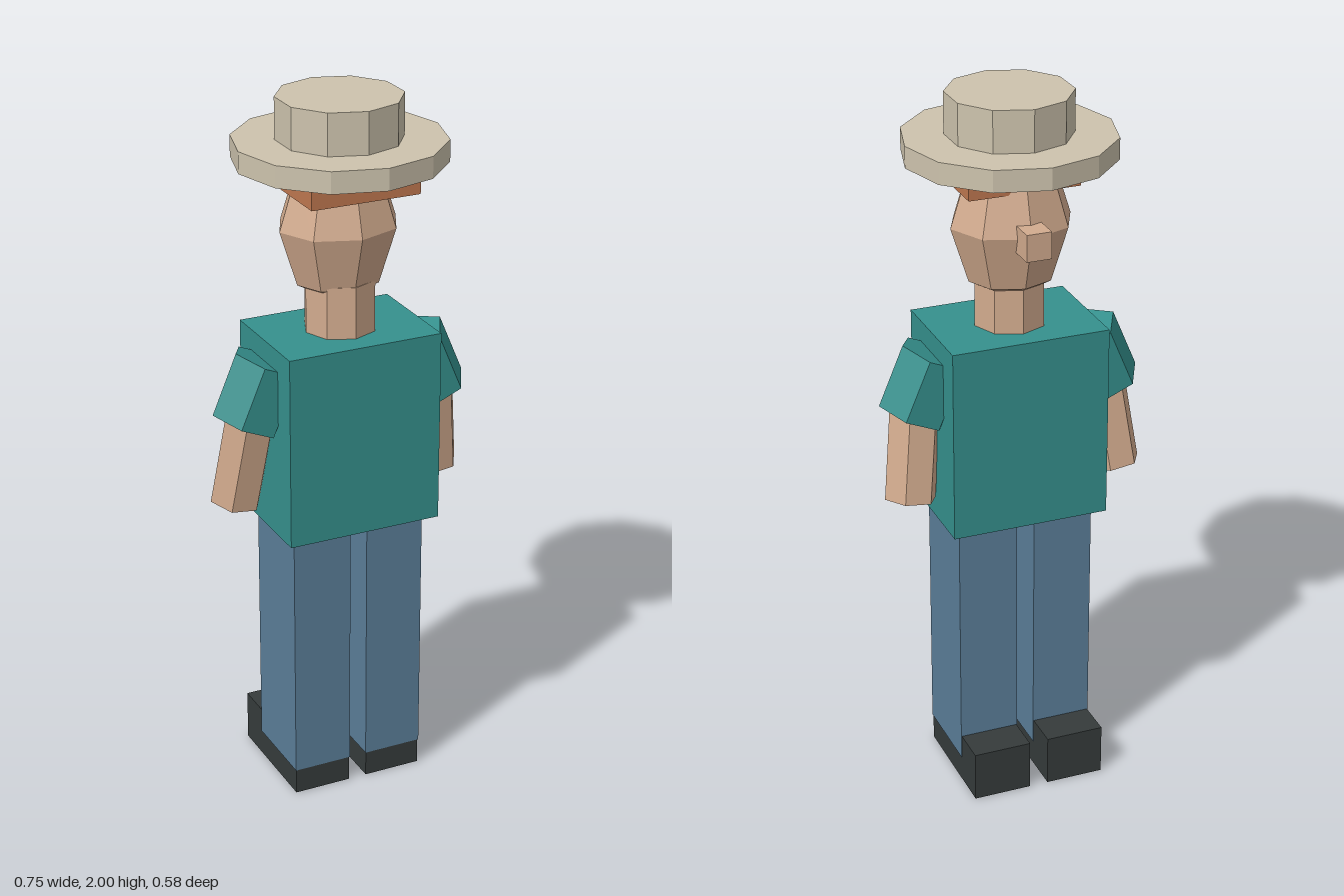
import * as THREE from 'three';

export function createModel() {
  const model = new THREE.Group();
  model.name = 'manWithHat';

  const mat = (name, color) => {
    const m = new THREE.MeshStandardMaterial({ color, flatShading: true });
    m.name = name;
    return m;
  };
  const skin = mat('skin', 0xd2ab8e);
  const teal = mat('teal shirt', 0x35908d);
  const denim = mat('denim', 0x5b7e99);
  const black = mat('shoe black', 0x353b3b);
  const straw = mat('straw', 0xcdc3ad);
  const ginger = mat('ginger hair', 0xbf7850);

  const add = (name, geometry, material, x, y, z) => {
    const mesh = new THREE.Mesh(geometry, material);
    mesh.name = name;
    mesh.position.set(x, y, z);
    model.add(mesh);
    return mesh;
  };
  // box given by its lower and upper corners
  const box = (name, material, [x0, y0, z0], [x1, y1, z1]) =>
    add(name, new THREE.BoxGeometry(x1 - x0, y1 - y0, z1 - z0), material,
      (x0 + x1) / 2, (y0 + y1) / 2, (z0 + z1) / 2);
  // upright prism with a corner on the z axis
  const prism = (name, material, r, sides, y0, y1) =>
    add(name, new THREE.CylinderGeometry(r, r, y1 - y0, sides), material, 0, (y0 + y1) / 2, 0);
  // six-sided limb between two points, with corners towards the sides
  const limb = (name, material, r, top, bottom) => {
    const a = new THREE.Vector3(...top), b = new THREE.Vector3(...bottom);
    const geometry = new THREE.CylinderGeometry(r, r, a.distanceTo(b), 6);
    geometry.rotateY(Math.PI / 2);
    const mesh = add(name, geometry, material, 0, 0, 0);
    mesh.position.copy(a).add(b).multiplyScalar(0.5);
    mesh.quaternion.setFromUnitVectors(new THREE.Vector3(0, 1, 0), a.sub(b).normalize());
  };

  // torso and neck
  box('torso', teal, [-0.223, 0.81, -0.16], [0.223, 1.355, 0.163]);
  prism('neck', skin, 0.1, 8, 1.34, 1.5);

  // head, nose and hair; the face looks towards -z
  const head = add('head', new THREE.SphereGeometry(1, 8, 4), skin, 0, 1.645, -0.01);
  head.scale.set(0.17, 0.22, 0.147);
  box('nose', skin, [-0.035, 1.605, -0.207], [0.035, 1.68, -0.13]);
  box('hair', ginger, [-0.156, 1.755, -0.11], [0.156, 1.835, 0.16]);

  // hat
  prism('hatBrim', straw, 0.288, 12, 1.825, 1.885);
  prism('hatCrown', straw, 0.171, 10, 1.88, 2);

  // arms, legs and shoes on both sides
  for (const [side, s] of [['left', 1], ['right', -1]]) {
    limb(side + 'Sleeve', teal, 0.1, [s * 0.213, 1.291, 0], [s * 0.283, 1.126, 0]);
    limb(side + 'Forearm', skin, 0.073, [s * 0.268, 1.16, 0.01], [s * 0.302, 0.888, -0.03]);
    const x0 = s > 0 ? 0.025 : -0.195, x1 = x0 + 0.17;
    box(side + 'Leg', denim, [x0, 0.075, -0.12], [x1, 0.815, 0.12]);
    box(side + 'Shoe', black, [x0 + 0.002, 0, -0.225], [x1 - 0.002, 0.145, 0.117]);
  }
  return model;
}
